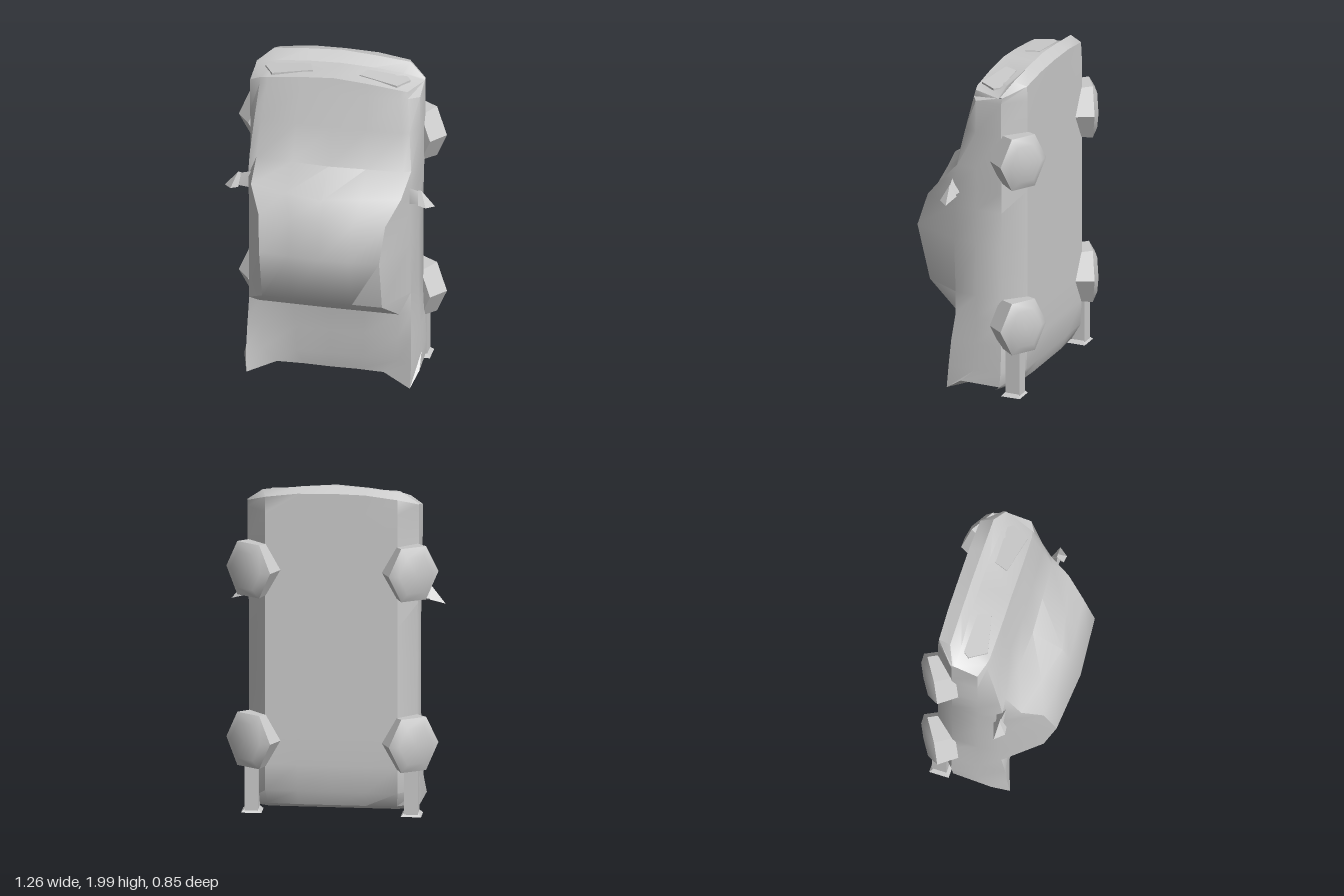
import * as THREE from 'three';
import { toCreasedNormals } from 'three/addons/utils/BufferGeometryUtils.js';
import { ConvexGeometry } from 'three/addons/geometries/ConvexGeometry.js';

const material = new THREE.MeshStandardMaterial({ color: 0xcccccc });

function part(name, geometry, parent, crease = 0.7) {
  const mesh = new THREE.Mesh(toCreasedNormals(geometry, crease), material);
  mesh.name = name;
  parent.add(mesh);
  return mesh;
}

const hull = (points) => new ConvexGeometry(points.map((p) => new THREE.Vector3(...p)));

// Adds the quads between neighbouring rows of points
function skin(out, rows, closed = false) {
  for (let i = 0; i < rows.length - 1; i++) {
    const a = rows[i], b = rows[i + 1], n = a.length;
    for (let j = 0; j < (closed ? n : n - 1); j++) {
      const k = (j + 1) % n;
      out.push(...a[j], ...b[j], ...a[k], ...a[k], ...b[j], ...b[k]);
    }
  }
}

const flip = ([x, y, z]) => [-x, y, z];
// Half section (floor centre to roof centre) to a closed ring
const ring = (half) => [...half, ...half.slice(1, -1).reverse().map(flip)];
// Half row (centre to +x) to a full row from -x to +x
const row = (half) => [...half.slice(1).reverse().map(flip), ...half];

// Half cross-section of the shell at height y
function section([y, floor, w, sx, sz, rx, rz, cz]) {
  return [
    [0, y, floor], [0.2, y, floor], [0.39, y, floor], [w - 0.005, y, -0.21], [w, y, -0.05],
    [sx, y, sz], [rx, y, rz], [rx / 2, y, (rz + cz) / 2], [0, y, cz],
  ];
}

function bodyGeometry() {
  const tail = [
    [0, 0.07, -0.28], [0.2, 0.07, -0.28], [0.38, 0.07, -0.27], [0.51, 0.07, -0.2], [0.525, 0.08, 0.04],
    [0.49, 0.01, 0.145], [0.32, 0.07, 0.085], [0.16, 0.065, 0.07], [0, 0.06, 0.065],
  ];
  const nose = [
    [0, 1.97, -0.33], [0.2, 1.965, -0.33], [0.39, 1.94, -0.325], [0.505, 1.89, -0.22], [0.505, 1.885, -0.19],
    [0.44, 1.89, -0.02], [0.4, 1.9, -0.01], [0.2, 1.925, -0.005], [0, 1.94, -0.005],
  ];
  // y, floor z, side x, shoulder x and z, roof edge x and z, roof centre z
  const middle = [
    [0.16, -0.32, 0.518, 0.495, 0.13, 0.4, 0.1, 0.085],
    [0.32, -0.33, 0.51, 0.49, 0.115, 0.41, 0.1, 0.095],
    [0.48, -0.33, 0.503, 0.485, 0.09, 0.42, 0.115, 0.12],
    [0.62, -0.33, 0.5, 0.485, 0.09, 0.36, 0.31, 0.315],
    [0.95, -0.33, 0.5, 0.485, 0.1, 0.36, 0.39, 0.42],
    [1.16, -0.33, 0.5, 0.485, 0.1, 0.38, 0.315, 0.352],
    [1.29, -0.33, 0.503, 0.49, 0.1, 0.45, 0.2, 0.31],
    [1.42, -0.33, 0.507, 0.485, 0.08, 0.44, 0.1, 0.125],
    [1.65, -0.33, 0.51, 0.465, 0.035, 0.42, 0.05, 0.065],
    [1.85, -0.33, 0.51, 0.445, -0.01, 0.4, 0.005, 0.015],
  ].map(section);

  const out = [];
  skin(out, [tail, ...middle, nose].map(ring), true);
  // Nose: bumper ridge, recessed grille and bonnet edge
  skin(out, [
    nose.slice(0, 4),
    [[0, 2, -0.25], [0.2, 1.987, -0.25], [0.41, 1.967, -0.25], [0.507, 1.892, -0.205]],
    [[0, 1.94, -0.2], [0.2, 1.932, -0.2], [0.38, 1.92, -0.19], nose[4]],
    nose.slice(5).reverse(),
  ].map(row));
  // Tail: rear panel with the two fin corners
  skin(out, [
    tail.slice(5).reverse(),
    [[0, 0.03, -0.02], [0.16, 0.03, -0.02], [0.32, 0.03, -0.02], tail[4]],
    [[0, 0.03, -0.18], [0.2, 0.03, -0.18], [0.38, 0.03, -0.18], [0.5, 0.045, -0.17]],
    tail.slice(0, 4),
  ].map(row));

  const geometry = new THREE.BufferGeometry();
  geometry.setAttribute('position', new THREE.Float32BufferAttribute(out, 3));
  return geometry;
}

// Six-sided wheel turned outwards and under the floor
function addWheel(name, y, parent) {
  const profile = [[0, -0.135], [0.15, -0.13], [0.162, 0], [0.11, 0.03], [0, 0.03]];
  const geometry = new THREE.LatheGeometry(profile.map((p) => new THREE.Vector2(...p)), 6);
  geometry.scale(1.15, 1, 1);
  const axis = new THREE.Vector3(0.53, 0, -0.85).normalize();
  const across = new THREE.Vector3(-axis.z, 0, axis.x);
  const up = new THREE.Vector3().crossVectors(axis, across);
  geometry.applyMatrix4(new THREE.Matrix4().makeBasis(up, axis, across));
  part(name, geometry, parent, 0.8).position.set(0.487, y, -0.345);
}

function buildSide(name) {
  const side = new THREE.Group();
  side.name = name;
  addWheel('frontWheel', 1.5, side);
  addWheel('rearWheel', 0.465, side);

  // Exhaust pipe with a flared end
  const pipe = new THREE.BoxGeometry(0.08, 0.33, 0.09);
  part('exhaustPipe', pipe, side).position.set(0.47, 0.195, -0.285);
  const flare = new THREE.CylinderGeometry(0.06, 0.085, 0.02, 4);
  flare.rotateY(Math.PI / 4);
  part('exhaustTip', flare, side).position.set(0.47, 0.035, -0.28);

  // Mirror: a short arm and a swept-back head
  part('mirrorArm', hull([
    [0.47, 1.33, 0.115], [0.48, 1.22, 0.11], [0.48, 1.25, 0.06],
    [0.55, 1.3, 0.1], [0.56, 1.235, 0.12], [0.56, 1.24, 0.08],
  ]), side);
  part('mirrorHead', hull([
    [0.53, 1.31, 0.1], [0.55, 1.31, 0.1], [0.54, 1.23, 0.14], [0.585, 1.22, 0.145],
    [0.54, 1.24, 0.06], [0.63, 1.21, 0.09], [0.57, 1.23, 0.07],
  ]), side);

  // Headlight: a slanted plate on the nose
  const outline = [[0.435, -0.13], [0.41, -0.165], [0.17, -0.16], [0.14, -0.08], [0.375, -0.03]];
  const corners = [0, -0.03].flatMap((d) => outline.map(([x, z]) => [x, 1.952 - 0.09 * x + d, z]));
  part('headlight', hull(corners), side);
  return side;
}

export function createModel() {
  const model = new THREE.Group();
  model.name = 'car';
  part('body', bodyGeometry(), model);
  model.add(buildSide('leftSide'));
  const right = buildSide('rightSide');
  right.scale.x = -1;
  model.add(right);
  // Centre the depth and rest the lowest point on the ground
  const box = new THREE.Box3().setFromObject(model);
  model.position.set(0, -box.min.y, -(box.min.z + box.max.z) / 2);
  return model;
}
